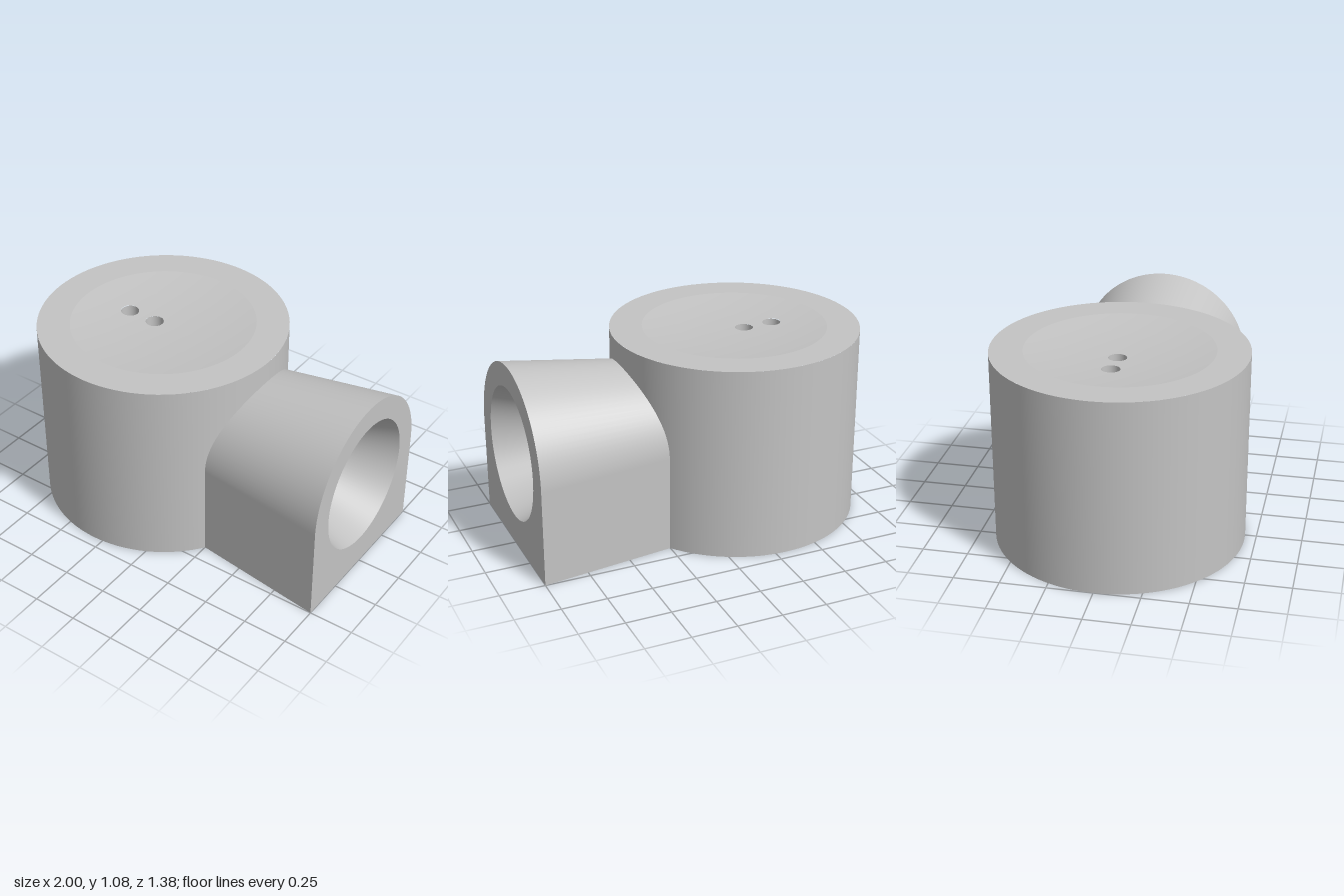
import * as THREE from 'three';

const CX = -0.31, R = 0.69, H = 1.08;   // drum axis, radius, height
const AXIS = 0.54;                      // height of the horn axis
const DISH = 0.51, DEPTH = 0.03;        // shallow dish in the drum top
const SEG = 96;

const grey = new THREE.MeshStandardMaterial({ color: 0xc4c4c4 });
grey.name = 'plain grey';

const dishY = (r) => H - DEPTH * (1 - (r / DISH) ** 2);
const hornHalf = (x) => 0.5 - 0.131 * (1 - x);

function add(parent, name, geometry) {
  const mesh = new THREE.Mesh(geometry, grey);
  mesh.name = name;
  parent.add(mesh);
  return mesh;
}

// Surface of revolution with a sharp edge at every profile point
function turned(parent, name, profile, segments = SEG) {
  const group = new THREE.Group();
  group.name = name;
  for (let i = 0; i + 1 < profile.length; i++) {
    const pts = [profile[i], profile[i + 1]].map(([r, y]) => new THREE.Vector2(r, y));
    add(group, name + 'Surface', new THREE.LatheGeometry(pts, segments));
  }
  parent.add(group);
  return group;
}

// Surface between two rows of points
function strip(a, b) {
  const n = a.length, index = [];
  for (let i = 0; i + 1 < n; i++) index.push(i, i + 1, n + i, i + 1, n + i + 1, n + i);
  const g = new THREE.BufferGeometry().setFromPoints([...a, ...b]);
  g.setIndex(index);
  g.computeVertexNormals();
  return g;
}

function circle(r, x = 0, y = 0) {
  return new THREE.Path().absarc(x, y, r, 0, Math.PI * 2, true);
}

function disc(r, holes) {
  const shape = new THREE.Shape().absarc(0, 0, r, 0, Math.PI * 2, false);
  shape.holes.push(...holes);
  return new THREE.ShapeGeometry(shape, 48);
}

export function createModel() {
  const model = new THREE.Group();
  model.name = 'drumWithHorn';

  // Horn section: straight sides under a half-round arch, ending on the drum wall
  const section = [[1, null]];
  for (let i = 0; i <= 48; i++) {
    const t = (i / 48) * Math.PI;
    section.push([Math.cos(t), Math.sin(t)]);
  }
  section.push([-1, null]);
  const at = (x, [u, v]) =>
    new THREE.Vector3(x, v === null ? 0 : AXIS + hornHalf(x) * v, hornHalf(x) * u);
  const mouth = section.map((s) => at(1, s));
  const root = section.map((s) => {
    let x = 0.3;
    for (let k = 0; k < 20; k++) x = CX + Math.sqrt(R * R - (hornHalf(x) * s[0]) ** 2);
    return at(x, s);
  });
  const last = section.length - 1;

  const horn = new THREE.Group();
  horn.name = 'horn';
  model.add(horn);
  add(horn, 'hornShell', strip(mouth, root));
  add(horn, 'hornBase', strip([mouth[last], mouth[0]], [root[last], root[0]]));

  // Flat end with the round mouth opening
  const face = new THREE.Shape();
  face.moveTo(-0.5, 0).lineTo(0.5, 0).lineTo(0.5, AXIS);
  face.absarc(0, AXIS, 0.5, 0, Math.PI, false);
  face.holes.push(circle(0.37, 0, AXIS));
  add(horn, 'hornFace', new THREE.ShapeGeometry(face, 48).rotateY(Math.PI / 2).translate(1, 0, 0));

  // Conical mouth narrowing to a small tube
  const cone = turned(horn, 'hornMouth', [[0.37, 1], [0.05, 0.1], [0.05, -0.16]]);
  cone.rotation.z = -Math.PI / 2;
  cone.position.y = AXIS;

  // Drum wall, open where the horn joins, closed above its arch
  const arch = root.slice(1, -1);
  add(model, 'drumWallAboveHorn', strip(arch, arch.map((p) => new THREE.Vector3(p.x, H, p.z))));

  const drum = new THREE.Group();
  drum.name = 'drum';
  drum.position.x = CX;
  model.add(drum);
  const phi = Math.asin(root[0].z / R);
  add(drum, 'drumWall', new THREE.CylinderGeometry(R, R, H, SEG, 1, true,
    Math.PI / 2 + phi, Math.PI * 2 - 2 * phi).translate(0, H / 2, 0));
  add(drum, 'drumBase', disc(R, [circle(0.2)]).rotateX(Math.PI / 2));

  // Top rim and the sloping part of the dish
  turned(drum, 'topRim', [[R, H], [DISH, H]]);
  const slope = [];
  for (let i = 0; i <= 8; i++) {
    const r = DISH - (i / 8) * (DISH - 0.3);
    slope.push(new THREE.Vector2(r, dishY(r)));
  }
  add(drum, 'dishSlope', new THREE.LatheGeometry(slope, SEG));

  // Middle of the dish, pierced by two small holes
  const holes = [-0.23, -0.06];
  const middle = disc(0.3, holes.map((x) => circle(0.05, x))).rotateX(-Math.PI / 2);
  const pos = middle.attributes.position, normal = middle.attributes.normal;
  const v = new THREE.Vector3();
  for (let i = 0; i < pos.count; i++) {
    const x = pos.getX(i), z = pos.getZ(i), k = (2 * DEPTH) / DISH ** 2;
    pos.setY(i, dishY(Math.hypot(x, z)));
    v.set(-k * x, 1, -k * z).normalize();
    normal.setXYZ(i, v.x, v.y, v.z);
  }
  add(drum, 'dishMiddle', middle);
  for (const x of holes) {
    turned(drum, 'topHole', [[0.05, dishY(x)], [0.05, 0.9], [0, 0.9]], 32).position.x = x;
  }

  // Vertical bore with a countersunk opening underneath
  turned(drum, 'bore', [[0, 0.85], [0.155, 0.85], [0.155, 0.07], [0.2, 0]], 64);

  return model;
}
